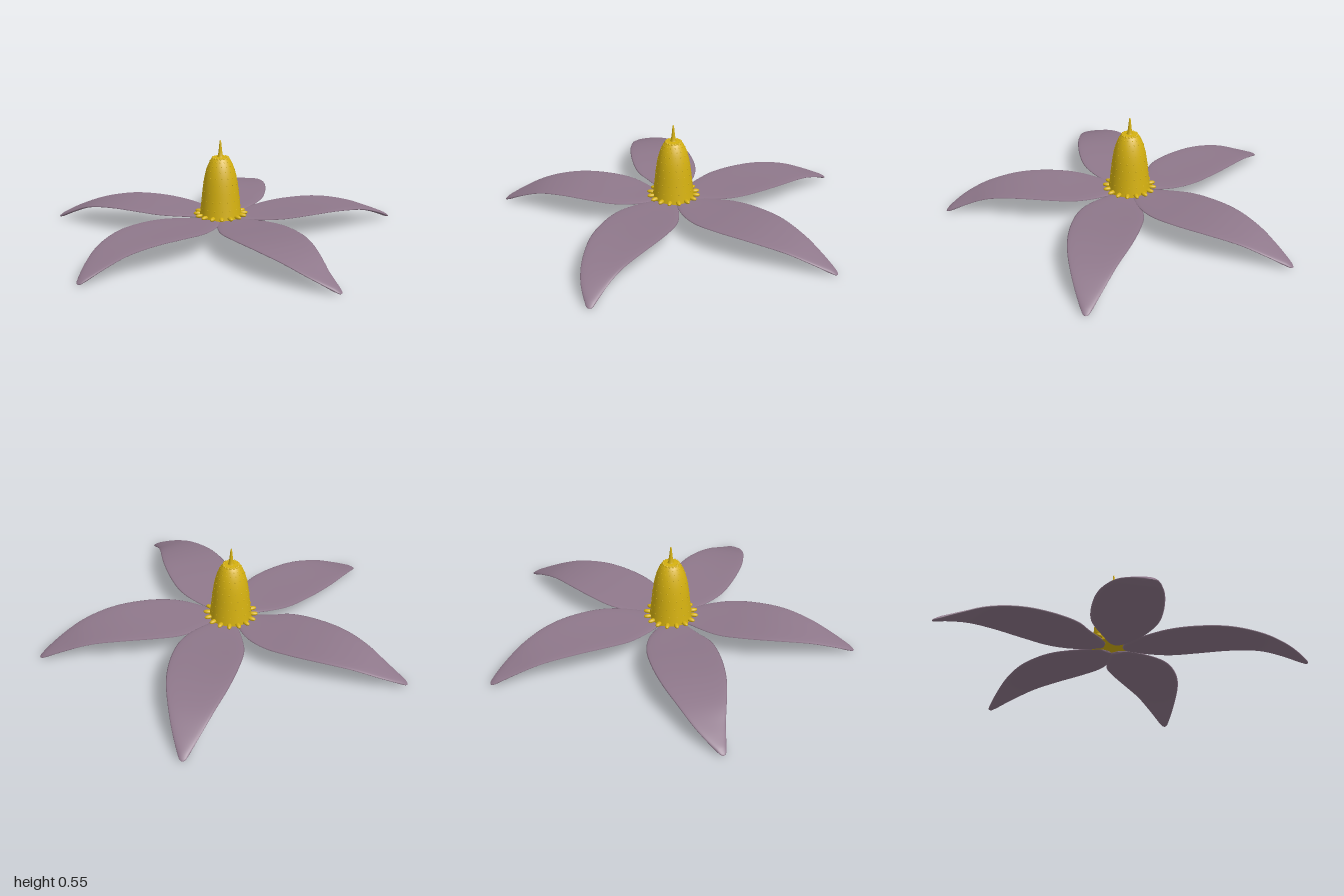
import * as THREE from 'three';
import { mergeGeometries } from 'three/addons/utils/BufferGeometryUtils.js';

const CX = -0.06, CZ = -0.07; // flower centre
const petalMat = new THREE.MeshStandardMaterial({ color: 0x8f788b });
const goldMat = new THREE.MeshStandardMaterial({ color: 0xd4b010 });

// petal section along its length: (fraction, half width, height)
const section = new THREE.CatmullRomCurve3([
  [0, 0, 0.117], [0.012, 0.04, 0.117], [0.05, 0.075, 0.118], [0.15, 0.135, 0.122],
  [0.26, 0.175, 0.128], [0.4, 0.183, 0.136], [0.58, 0.163, 0.136], [0.75, 0.115, 0.112],
  [0.88, 0.067, 0.067], [0.97, 0.027, 0.026], [0.992, 0.014, 0.015], [1, 0, 0.012],
].map(p => new THREE.Vector3(...p)));

// centre lines of the five petals as [x, z]
const spines = [
  [[-0.01, -0.06], [0.25, -0.005], [0.6, 0.033], [0.8, 0.042], [1, 0.042]],
  [[-0.06, -0.02], [-0.03, 0.25], [0, 0.6], [0.035, 0.8], [0.1, 0.955]],
  [[-0.11, -0.05], [-0.25, 0.02], [-0.6, 0.13], [-0.8, 0.205], [-1, 0.302]],
  [[-0.1, -0.11], [-0.195, -0.25], [-0.31, -0.365], [-0.48, -0.535], [-0.65, -0.7], [-0.79, -0.8]],
  [[-0.03, -0.11], [0.11, -0.29], [0.25, -0.505], [0.4, -0.775], [0.493, -0.957]],
];

// thin lens-shaped blade swept along a centre line
function petalGeometry(points) {
  const spine = new THREE.SplineCurve(points.map(p => new THREE.Vector2(...p)));
  const rows = 64, around = 24, pos = [], index = [];
  for (let i = 0; i <= rows; i++) {
    const q = section.getPoint(i / rows);
    const s = THREE.MathUtils.clamp(q.x, 0, 1), half = Math.max(q.y, 0.0005);
    const c = spine.getPointAt(s), t = spine.getTangentAt(s);
    const thick = 0.012 * Math.min(1, half / 0.03);
    for (let j = 0; j < around; j++) {
      const a = (j / around) * Math.PI * 2, u = Math.cos(a);
      const lift = 0.05 * half * u * u;
      pos.push(c.x + t.y * u * half, q.z + lift + Math.sin(a) * thick, c.y - t.x * u * half);
      if (i < rows) {
        const k = (j + 1) % around, r = i * around, n = r + around;
        index.push(r + j, r + k, n + j, r + k, n + k, n + j);
      }
    }
  }
  const g = new THREE.BufferGeometry();
  g.setAttribute('position', new THREE.Float32BufferAttribute(pos, 3));
  g.setIndex(index);
  g.computeVertexNormals();
  return g;
}

function add(parent, name, geometry, material) {
  const m = new THREE.Mesh(geometry, material);
  m.name = name;
  parent.add(m);
  return m;
}

export function createModel() {
  const flower = new THREE.Group();
  flower.name = 'flower';

  const petals = new THREE.Group();
  petals.name = 'petals';
  flower.add(petals);
  spines.forEach((p, i) => {
    add(petals, 'petal' + (i + 1), petalGeometry(p), petalMat).position.y = i * 0.001;
  });

  const core = new THREE.Group();
  core.name = 'flowerCentre';
  core.position.set(CX, 0, CZ);
  flower.add(core);

  // bell-shaped stamen cone
  const wall = new THREE.SplineCurve([
    [0.119, 0.12], [0.114, 0.16], [0.106, 0.23], [0.098, 0.3],
    [0.088, 0.36], [0.074, 0.41], [0.058, 0.445], [0.045, 0.463],
  ].map(p => new THREE.Vector2(...p)));
  const profile = [new THREE.Vector2(0, 0.12), ...wall.getPoints(24),
    new THREE.Vector2(0.035, 0.468), new THREE.Vector2(0, 0.468)];
  add(core, 'stamenCone', new THREE.LatheGeometry(profile, 48), goldMat);

  // pointed style on top
  add(core, 'style', new THREE.LatheGeometry([
    [0.02, 0.464], [0.014, 0.475], [0.01, 0.5], [0.006, 0.54], [0.004, 0.558], [0, 0.564],
  ].map(p => new THREE.Vector2(...p)), 16), goldMat);

  // ring of stamen tips, rows of tiny bumps and crown of small knobs
  const tips = [], bumps = [], knobs = [];
  const count = 16;
  for (let i = 0; i < count; i++) {
    const a = (i / count) * Math.PI * 2;
    tips.push(new THREE.SphereGeometry(1, 14, 10).scale(0.013, 0.011, 0.025)
      .translate(0, 0.143, 0.127).rotateY(a));
    knobs.push(new THREE.SphereGeometry(0.008, 8, 6).translate(0, 0.461, 0.041).rotateY(a));
    for (let j = 0; j < 9; j++) {
      const p = wall.getPoint(0.1 + j * 0.095);
      bumps.push(new THREE.SphereGeometry(0.0035, 6, 4).translate(0, p.y, p.x - 0.001)
        .rotateY(a + (j % 2 ? 0.06 : -0.06)));
    }
  }
  add(core, 'stamenTips', mergeGeometries(tips), goldMat);
  add(core, 'coneBumps', mergeGeometries(bumps), goldMat);
  add(core, 'coneCrown', mergeGeometries(knobs), goldMat);

  return flower;
}
